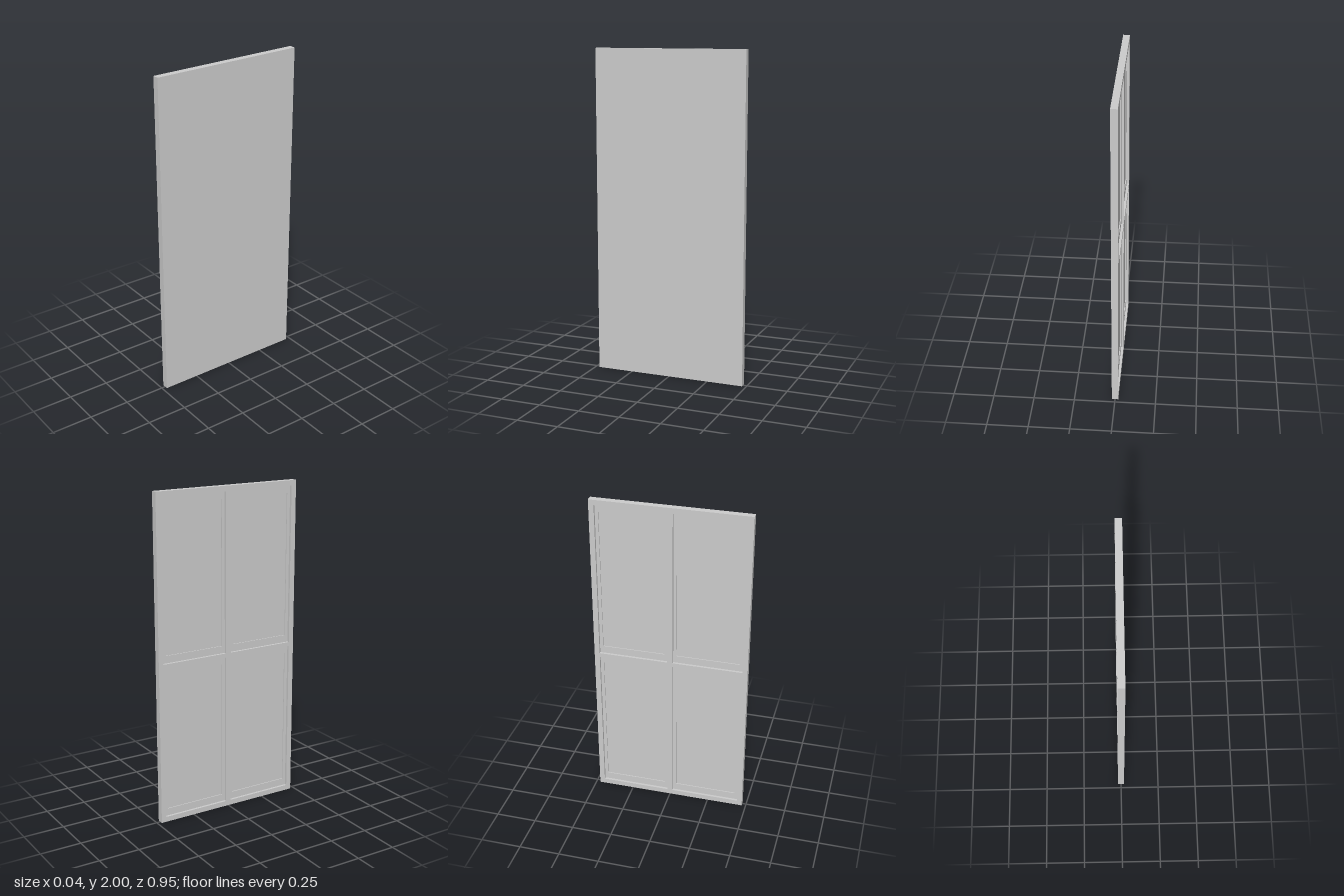
import * as THREE from 'three';

const W = 0.95, H = 2, T = 0.04;           // door width (z), height (y), thickness (x)
const FRAME = 0.032, MULLION = 0.034;      // border and centre bar widths
const RAIL = [0.972, 0.998];               // lower and upper edge of the middle rail
const FRAME_DEPTH = 0.015, PANE_DEPTH = 0.006;

const material = new THREE.MeshStandardMaterial({ color: 0xcccccc, flatShading: true });

function rectangle(target, z0, y0, z1, y1) {
  target.moveTo(z0, y0).lineTo(z1, y0).lineTo(z1, y1).lineTo(z0, y1).closePath();
  return target;
}

// Full-size slab with four openings, each shrunk by the given margins
function windowSlab(name, depth, backX, marginZ, marginY) {
  const shape = rectangle(new THREE.Shape(), -W / 2, 0, W / 2, H);
  const columns = [[-W / 2 + FRAME, -MULLION / 2], [MULLION / 2, W / 2 - FRAME]];
  const rows = [[FRAME, RAIL[0]], [RAIL[1], H - FRAME]];
  for (const [z0, z1] of columns)
    for (const [y0, y1] of rows)
      shape.holes.push(rectangle(new THREE.Path(),
        z0 + marginZ, y0 + marginY, z1 - marginZ, y1 - marginY));
  const geometry = new THREE.ExtrudeGeometry(shape, { depth, bevelEnabled: false });
  geometry.rotateY(-Math.PI / 2);          // shape lies in the z-y plane, depth runs to -x
  const mesh = new THREE.Mesh(geometry, material);
  mesh.name = name;
  mesh.position.x = backX;
  return mesh;
}

export function createModel() {
  const door = new THREE.Group();
  door.name = 'panelDoor';

  // Plain board forming the smooth side and the bottoms of the panels
  const thickness = T - FRAME_DEPTH - PANE_DEPTH;
  const board = new THREE.Mesh(new THREE.BoxGeometry(thickness, H, W), material);
  board.name = 'backBoard';
  board.position.set(T / 2 - thickness / 2, H / 2, 0);
  door.add(board);

  // Stepped borders around the panels, then the raised frame with cross bars
  const stepX = T / 2 - thickness;
  door.add(windowSlab('panelBorders', PANE_DEPTH, stepX, 0.02, 0.045));
  door.add(windowSlab('raisedFrame', FRAME_DEPTH, stepX - PANE_DEPTH, 0, 0));
  return door;
}
